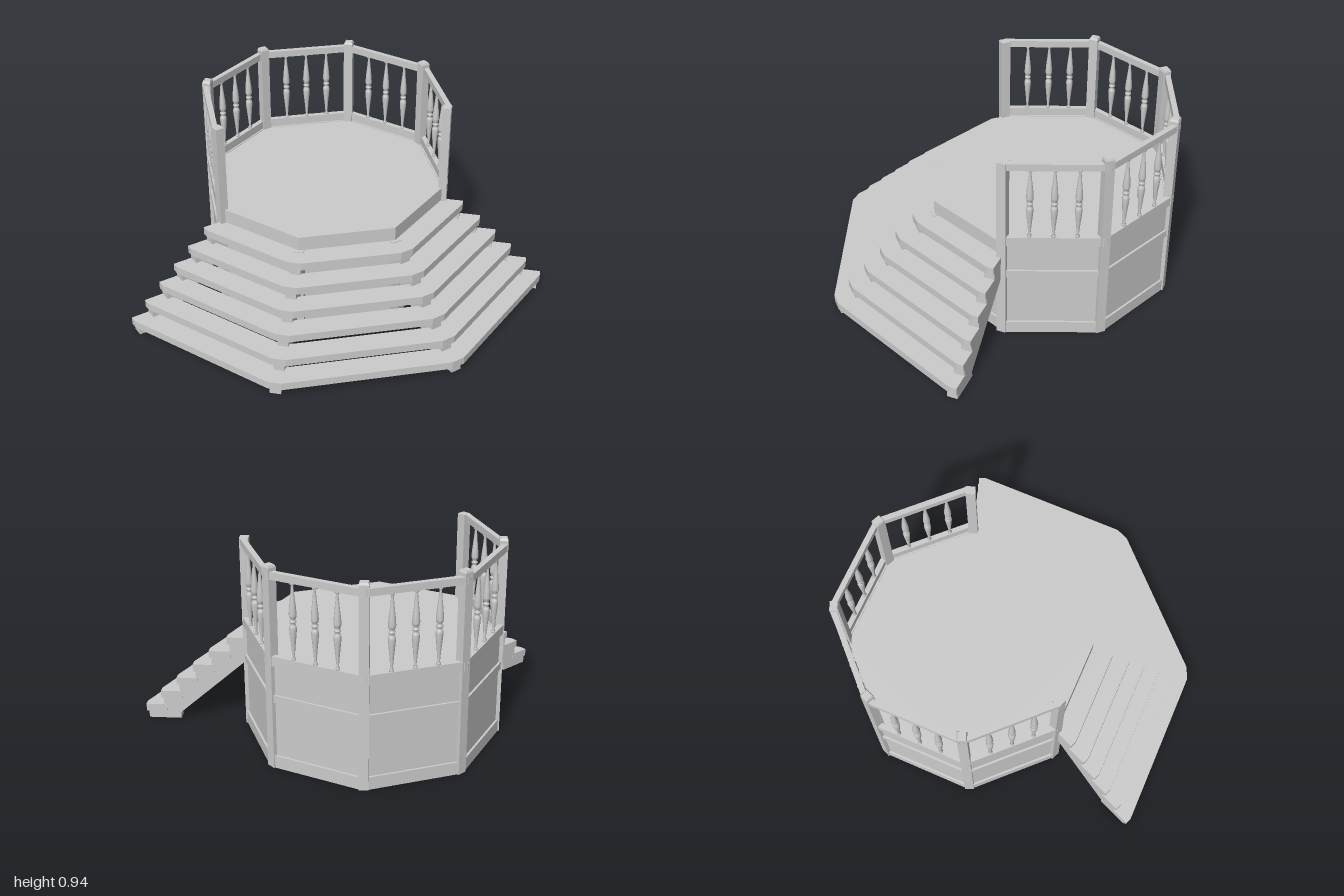
import * as THREE from 'three';

const RAD = Math.PI / 180;
const CZ = -0.225; // centre of the octagon
const TAN = Math.tan(22.5 * RAD), COS = Math.cos(22.5 * RAD);
const mat = new THREE.MeshStandardMaterial({ color: 0xcccccc, flatShading: true });
const smooth = new THREE.MeshStandardMaterial({ color: 0xcccccc });

function add(parent, name, geo, x = 0, y = 0, z = 0, material = mat) {
  const m = new THREE.Mesh(geo, material);
  m.name = name;
  m.position.set(x, y, z);
  parent.add(m);
  return m;
}

// horizontal bar along one octagon side; outward is local +z
function bar(side, name, y0, y1, outer, inner) {
  const a = (outer + inner) / 2;
  add(side, name, new THREE.BoxGeometry(2 * a * TAN - 0.01, y1 - y0, outer - inner), 0, (y0 + y1) / 2, a);
}

// horizontal slab from an outline in x, z, with its top at the given height
function slab(parent, name, pts, top, thick) {
  const geo = new THREE.ExtrudeGeometry(new THREE.Shape(pts), { depth: thick, bevelEnabled: false });
  geo.rotateX(Math.PI / 2);
  return add(parent, name, geo, 0, top, 0);
}

const polar = (deg, r) => new THREE.Vector2(Math.sin(deg * RAD) * r, Math.cos(deg * RAD) * r);
const onSide = (deg, a, t) => {
  const s = Math.sin(deg * RAD), c = Math.cos(deg * RAD);
  return new THREE.Vector2(s * a + c * t, c * a - s * t);
};

// turned baluster profile
const balusterGeo = new THREE.LatheGeometry([
  [0.001, 0.535], [0.010, 0.535], [0.010, 0.547], [0.005, 0.552], [0.009, 0.60], [0.014, 0.65], [0.017, 0.685],
  [0.014, 0.698], [0.008, 0.705], [0.015, 0.711], [0.015, 0.718], [0.008, 0.724], [0.014, 0.731], [0.017, 0.745],
  [0.014, 0.785], [0.009, 0.83], [0.005, 0.875], [0.010, 0.88], [0.010, 0.89], [0.001, 0.89]
].map(p => new THREE.Vector2(...p)), 10);

// square post at an octagon corner, with an optional bevelled cap
function post(parent, deg, height, capped) {
  const g = new THREE.Group();
  g.name = 'cornerPost';
  g.rotation.y = deg * RAD;
  const w = 0.044, d = 0.04, body = capped ? height - 0.01 : height;
  add(g, 'postShaft', new THREE.BoxGeometry(w, body, d), 0, body / 2, 0.573);
  if (capped) {
    const cap = new THREE.CylinderGeometry(0.8 * Math.SQRT1_2, Math.SQRT1_2, 0.01, 4, 1);
    cap.rotateY(Math.PI / 4).scale(w, 1, d);
    add(g, 'postCap', cap, 0, height - 0.005, 0.573);
  }
  parent.add(g);
}

export function createModel() {
  const root = new THREE.Group();
  root.name = 'raisedDeckWithStairs';
  const model = new THREE.Group();
  model.name = 'structure';
  model.position.z = CZ;
  root.add(model);

  // deck
  const corners = [];
  for (let i = 0; i < 8; i++) corners.push(polar(22.5 + 45 * i, 0.535 / COS));
  slab(model, 'deck', corners, 0.497, 0.067);

  // eight wall sides; five carry a balustrade
  for (let i = 0; i < 8; i++) {
    const deg = i * 45;
    const railed = deg >= 90 && deg <= 270;
    const side = new THREE.Group();
    side.name = railed ? 'railedSide' : 'stairSide';
    side.rotation.y = deg * RAD;
    model.add(side);
    const face = railed ? 0.54 : 0.53;
    bar(side, 'wallPanel', 0, railed ? 0.5 : 0.43, face, face - 0.02);
    bar(side, 'baseRail', 0, 0.06, face + 0.01, face - 0.01);
    bar(side, 'middleRail', 0.32, 0.355, face + 0.01, face - 0.01);
    if (!railed) continue;
    bar(side, 'lowerRail', 0.495, 0.54, 0.553, 0.528);
    bar(side, 'handRail', 0.887, 0.92, 0.553, 0.528);
    for (const x of [-0.104, 0, 0.104]) add(side, 'baluster', balusterGeo, x, 0, 0.541, smooth);
  }

  // posts: tall at the back, rail height beside the stairs, under the deck in front
  for (const s of [-1, 1]) {
    post(model, s * 157.5, 0.945, true);
    post(model, s * 112.5, 0.945, true);
    post(model, s * 67.5, 0.92, false);
    post(model, s * 22.5, 0.43, false);
  }

  // treads wrapping three sides
  const apothems = [0.635, 0.715, 0.788, 0.862, 0.935, 1.003];
  const top = k => 0.426 - k * 0.0712;
  const thick = 0.036, chamfer = 0.035;
  apothems.forEach((a, k) => {
    const h = a * TAN - chamfer;
    const tip = a / COS - chamfer * Math.sin(22.5 * RAD);
    const b = (a - 0.105) / COS;
    const pts = [polar(67.5, tip)];
    for (const d of [45, 0, -45]) pts.push(onSide(d, a, h), onSide(d, a, -h));
    pts.push(polar(-67.5, tip));
    for (const d of [-67.5, -22.5, 22.5, 67.5]) pts.push(polar(d, b));
    slab(model, 'tread', pts, top(k), thick);
  });

  // notched stringers on the four stair corners
  const outline = [[0.908, 0], [0.908, 0.03], [0.57, 0.325], [0.57, top(0) - thick]];
  apothems.forEach((a, k) => {
    const r = a / COS - 0.025;
    outline.push([r, top(k) - thick], [r, k < 5 ? top(k + 1) - thick : 0]);
  });
  const width = 0.05;
  const stringerGeo = new THREE.ExtrudeGeometry(
    new THREE.Shape(outline.map(p => new THREE.Vector2(...p))), { depth: width, bevelEnabled: false });
  stringerGeo.translate(0, 0, -width / 2);
  for (const deg of [-67.5, -22.5, 22.5, 67.5]) {
    const g = new THREE.Group();
    g.name = 'stairStringer';
    g.rotation.y = (deg - 90) * RAD;
    // end stringers sit just inside the tread ends
    const shift = Math.abs(deg) > 45 ? Math.sign(deg) * (width / 2 + 0.001) : 0;
    add(g, 'stringerBoard', stringerGeo, 0, 0, shift);
    model.add(g);
  }
  return root;
}
